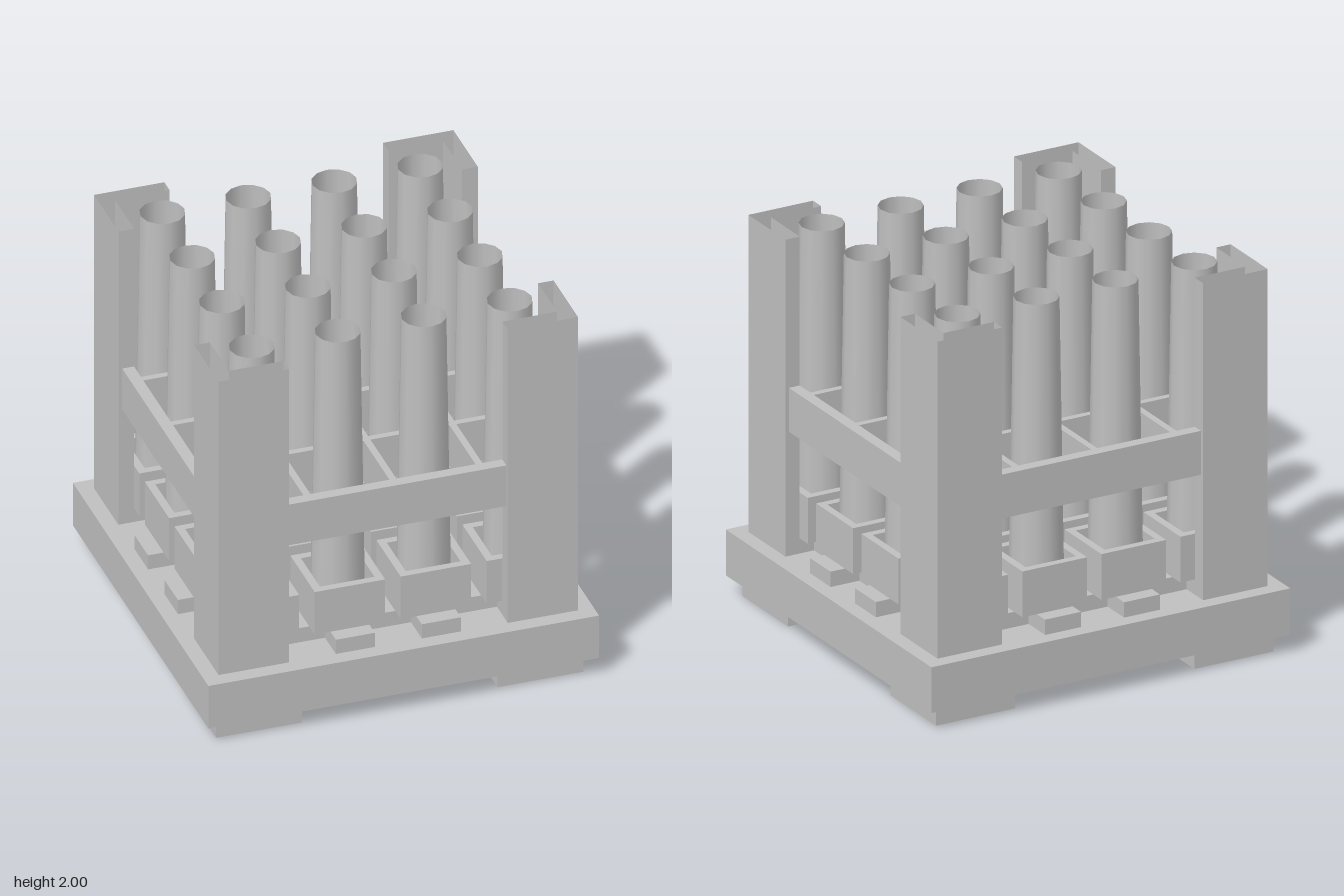
import * as THREE from 'three';

const grey = new THREE.MeshStandardMaterial({ color: 0xbfbfbf, side: THREE.DoubleSide });
grey.name = 'concrete grey';

export function createModel() {
  const model = new THREE.Group();
  model.name = 'columnTower';

  const add = (name, geometry, x = 0, y = 0, z = 0, turn = 0) => {
    const mesh = new THREE.Mesh(geometry, grey);
    mesh.name = name;
    mesh.position.set(x, y, z);
    mesh.rotation.y = turn;
    model.add(mesh);
    return mesh;
  };
  const square = (Type, h) => new Type([[-h, -h], [h, -h], [h, h], [-h, h]].map(p => new THREE.Vector2(...p)));
  // Upright extrusion of a flat outline, standing on y = 0
  const upright = (shape, height) =>
    new THREE.ExtrudeGeometry(shape, { depth: height, bevelEnabled: false }).rotateX(-Math.PI / 2);
  const bar = (name, length, y0, y1, width, offset) => {
    const box = new THREE.BoxGeometry(length, y1 - y0, width);
    add(name + 'AlongX', box, 0, (y0 + y1) / 2, offset);
    add(name + 'AlongZ', box, offset, (y0 + y1) / 2, 0, Math.PI / 2);
  };

  // Four feet
  for (const x of [-0.72, 0.72]) for (const z of [-0.72, 0.72])
    add('foot', new THREE.BoxGeometry(0.44, 0.1, 0.44), x, 0.05, z);

  // Base plinth with four openings divided by a cross
  const plinth = square(THREE.Shape, 1);
  for (const sx of [-1, 1]) for (const sz of [-1, 1]) {
    const hole = new THREE.Path();
    const a = 0.08, b = 0.6;
    hole.moveTo(sx * a, sz * a);
    hole.lineTo(sx * b, sz * a);
    hole.lineTo(sx * b, sz * b);
    hole.lineTo(sx * a, sz * b);
    hole.closePath();
    plinth.holes.push(hole);
  }
  add('plinth', upright(plinth, 0.24), 0, 0.1, 0);

  // Floor bars, sockets and tapering columns on a four by four grid
  const cells = [-0.66, -0.22, 0.22, 0.66];
  const socketShape = square(THREE.Shape, 0.18);
  socketShape.holes.push(square(THREE.Path, 0.14));
  const socket = upright(socketShape, 0.24);
  const column = new THREE.CylinderGeometry(0.112, 0.136, 1.58, 12, 1, true);
  for (const x of cells) {
    bar('floorBar', 1.84, 0.34, 0.42, 0.2, x);
    for (const z of cells) {
      add('socket', socket, x, 0.42, z);
      add('column', column, x, 1.21, z);
    }
  }

  // Brace frame with a thin inner grid
  const frame = square(THREE.Shape, 0.9);
  frame.holes.push(square(THREE.Path, 0.84));
  add('braceFrame', upright(frame, 0.23), 0, 0.99, 0);
  for (const p of [-0.44, 0, 0.44]) bar('braceGrid', 1.68, 0.99, 1.22, 0.035, p);

  // Hollow angle-section corner posts, open at the top
  const outline = [[0.92, 0.92], [0.92, 0.56], [0.84, 0.56], [0.84, 0.84], [0.56, 0.84], [0.56, 0.92]];
  const positions = [], index = [];
  outline.forEach(([x, z], i) => {
    const [x2, z2] = outline[(i + 1) % outline.length];
    const n = positions.length / 3;
    positions.push(x, 0.34, z, x2, 0.34, z2, x2, 2, z2, x, 2, z);
    index.push(n, n + 1, n + 2, n, n + 2, n + 3);
  });
  const post = new THREE.BufferGeometry();
  post.setAttribute('position', new THREE.Float32BufferAttribute(positions, 3));
  post.setIndex(index);
  post.computeVertexNormals();
  for (let i = 0; i < 4; i++) add('cornerPost', post, 0, 0, 0, i * Math.PI / 2);

  return model;
}
